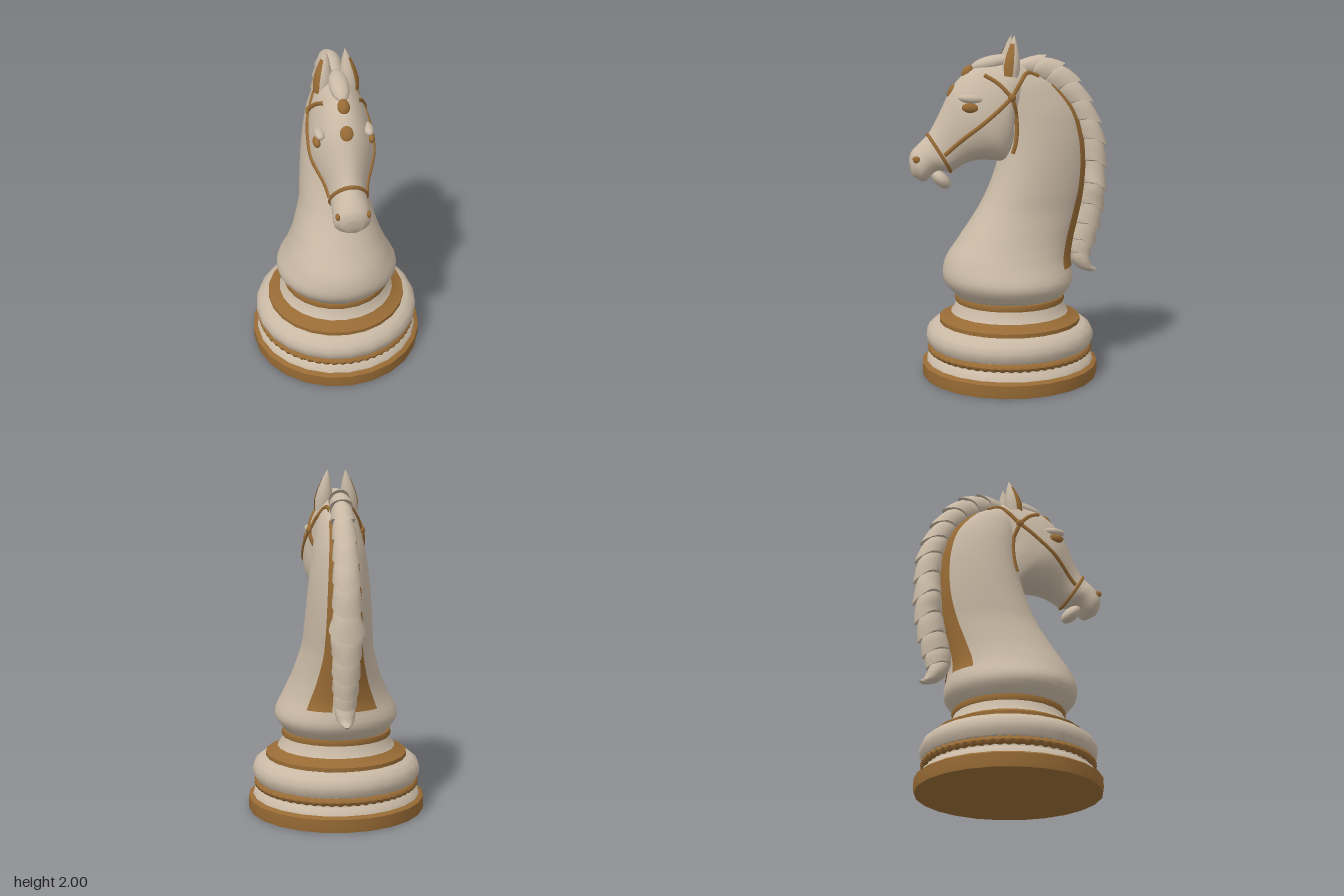
import * as THREE from 'three';
import { toCreasedNormals } from 'three/addons/utils/BufferGeometryUtils.js';

const ivory = new THREE.MeshStandardMaterial({ color: 0xc9b9a5 });
ivory.name = 'ivory';
const gold = new THREE.MeshStandardMaterial({ color: 0x986b35, side: THREE.DoubleSide });
gold.name = 'gold';

// Skin a grid of points: fn(row, angle), rows 0..nv, closed rings with end caps or an open strip
function skin(fn, nv, na, a0 = 0, a1 = Math.PI * 2, closed = true) {
  const pos = [], idx = [], cols = closed ? na : na + 1;
  for (let i = 0; i <= nv; i++)
    for (let j = 0; j < cols; j++) pos.push(...fn(i, a0 + (a1 - a0) * j / na).toArray());
  for (let i = 0; i < nv; i++)
    for (let j = 0; j < na; j++) {
      const k = (j + 1) % cols, p = i * cols, q = p + cols;
      idx.push(p + j, p + k, q + j, p + k, q + k, q + j);
    }
  if (closed) for (const row of [0, nv]) {
    const c = fn(row, 0).add(fn(row, Math.PI)).multiplyScalar(0.5), n = pos.length / 3;
    pos.push(...c.toArray());
    for (let j = 0; j < na; j++) {
      const p = row * cols + j, q = row * cols + (j + 1) % cols;
      idx.push(...(row === 0 ? [n, q, p] : [n, p, q]));
    }
  }
  const g = new THREE.BufferGeometry();
  g.setAttribute('position', new THREE.Float32BufferAttribute(pos, 3));
  g.setIndex(idx);
  g.computeVertexNormals();
  return g;
}

// Sections [az, ay, bz, by, halfWidth, taper] become a smooth surface p(v, angle); angle 0 lies on a
function loft(sections) {
  const curve = f => new THREE.CatmullRomCurve3(sections.map(f));
  const A = curve(s => new THREE.Vector3(0, s[1], s[0]));
  const B = curve(s => new THREE.Vector3(0, s[3], s[2]));
  const W = curve(s => new THREE.Vector3(s[4], s[5], 0));
  return (v, ang, reach = 1, wide = 1) => {
    const a = A.getPoint(v), b = B.getPoint(v), w = W.getPoint(v), c = Math.cos(ang);
    const p = b.clone().lerp(a, (1 + c) / 2 * reach);
    p.x = w.x * wide * Math.sin(ang) * (1 + w.y * c);
    return p;
  };
}

export function createModel() {
  const model = new THREE.Group();
  const add = (name, geo, mat, parent = model) => {
    const m = new THREE.Mesh(geo, mat);
    m.name = name;
    parent.add(m);
    return m;
  };
  const blob = (name, mat, x, y, z, sx, sy, sz, rx = 0) => {
    const m = add(name, new THREE.SphereGeometry(1, 14, 10), mat);
    m.position.set(x, y, z);
    m.scale.set(sx, sy, sz);
    m.rotation.x = rx;
    return m;
  };
  const turned = (name, pts, mat) => add(name, toCreasedNormals(
    new THREE.LatheGeometry(pts.map(p => new THREE.Vector2(...p)), 24), 0.7), mat);

  // Turned base
  turned('basePlinth', [[0, 0], [0.522, 0], [0.525, 0.02], [0.525, 0.075], [0.505, 0.088], [0.47, 0.09]], gold);
  turned('baseStep', [[0.5, 0.085], [0.49, 0.11], [0.465, 0.13], [0.455, 0.19]], ivory);
  turned('baseCushion', [[0.45, 0.175], [0.48, 0.185], [0.498, 0.215], [0.5, 0.25], [0.485, 0.285], [0.45, 0.312], [0.4, 0.32]], ivory);
  turned('lowerCollar', [[0.4, 0.312], [0.42, 0.32], [0.42, 0.342], [0.385, 0.352], [0.35, 0.378]], gold);
  turned('collarSlope', [[0.352, 0.375], [0.33, 0.405], [0.315, 0.45]], ivory);
  turned('upperCollar', [[0.3, 0.44], [0.322, 0.443], [0.327, 0.46], [0.322, 0.477], [0.28, 0.48]], gold);

  // Twisted rope ring
  const R = 0.466, rope = new THREE.TorusGeometry(R, 0.022, 10, 240), rp = rope.attributes.position;
  for (let i = 0; i < rp.count; i++) {
    const u = Math.atan2(rp.getY(i), rp.getX(i)), d = Math.hypot(rp.getX(i), rp.getY(i)) - R, z = rp.getZ(i);
    const k = 1 + 0.22 * Math.cos(2 * Math.atan2(z, d) + 60 * u), r = R + d * k;
    rp.setXYZ(i, r * Math.cos(u), r * Math.sin(u), z * k);
  }
  rope.rotateX(-Math.PI / 2);
  rope.computeVertexNormals();
  add('ropeRing', rope, gold).position.y = 0.16;

  // Neck and chest: front point, back point
  const neckAt = loft([
    [0.31, 0.47, -0.31, 0.47, 0.3, 0], [0.395, 0.58, -0.375, 0.56, 0.365, 0.02],
    [0.385, 0.69, -0.36, 0.69, 0.312, 0.08], [0.31, 0.81, -0.375, 0.8, 0.26, 0.15],
    [0.185, 1.0, -0.42, 0.98, 0.203, 0.22], [0.12, 1.13, -0.45, 1.13, 0.19, 0.25],
    [0.07, 1.28, -0.455, 1.28, 0.178, 0.25], [0.05, 1.4, -0.44, 1.42, 0.165, 0.25],
    [0.05, 1.55, -0.39, 1.57, 0.145, 0.25], [0.08, 1.7, -0.26, 1.72, 0.115, 0.2],
    [0.05, 1.78, -0.12, 1.8, 0.08, 0.1]]);
  const neck = add('neck', skin((i, a) => neckAt(i / 40, a), 40, 28), ivory);

  // Head from nose to poll: top point, jaw point
  const headAt = loft([
    [0.588, 1.29, 0.572, 1.2, 0.05, 0], [0.575, 1.335, 0.505, 1.165, 0.1, -0.05],
    [0.53, 1.385, 0.43, 1.225, 0.102, -0.1], [0.48, 1.435, 0.35, 1.22, 0.1, -0.15],
    [0.435, 1.51, 0.27, 1.262, 0.115, -0.2], [0.395, 1.59, 0.2, 1.283, 0.142, -0.2],
    [0.345, 1.69, 0.1, 1.28, 0.172, -0.15], [0.28, 1.77, 0.025, 1.275, 0.177, -0.18],
    [0.19, 1.825, -0.02, 1.35, 0.17, -0.2], [0.08, 1.84, -0.03, 1.5, 0.15, -0.2],
    [0, 1.85, -0.08, 1.6, 0.115, -0.1], [-0.1, 1.83, -0.12, 1.65, 0.07, 0]]);
  const head = add('head', skin((i, a) => headAt(i / 44, a), 44, 28), ivory);
  blob('lowerLip', ivory, 0, 1.175, 0.405, 0.07, 0.04, 0.07, -0.75);

  // Braided mane: overlapping locks that flare out and drop back
  const maneAt = loft([
    [-0.04, 1.87, -0.04, 1.78, 0.05, 0], [-0.2, 1.89, -0.13, 1.75, 0.062, 0],
    [-0.34, 1.83, -0.22, 1.69, 0.066, 0], [-0.46, 1.69, -0.31, 1.61, 0.07, 0],
    [-0.54, 1.53, -0.37, 1.5, 0.075, 0], [-0.585, 1.37, -0.41, 1.37, 0.08, 0],
    [-0.59, 1.2, -0.42, 1.2, 0.085, 0], [-0.585, 1.03, -0.41, 1.05, 0.085, 0],
    [-0.56, 0.88, -0.38, 0.9, 0.08, 0], [-0.525, 0.76, -0.35, 0.78, 0.072, 0],
    [-0.495, 0.68, -0.365, 0.68, 0.062, 0], [-0.505, 0.625, -0.42, 0.615, 0.045, 0],
    [-0.535, 0.605, -0.5, 0.585, 0.015, 0]]);
  const locks = 15, rows = 5;
  add('mane', toCreasedNormals(skin((i, a) => {
    const f = (i % rows) / (rows - 1), lock = Math.floor(i / rows), c = Math.cos(a);
    const v = (lock + f * 0.95 + f * Math.max(0, c) * 0.45) / locks;
    const flare = lock > locks - 3 ? 1 : Math.sqrt(f);
    return maneAt(Math.min(1, v), a, 0.76 + 0.24 * flare, 0.78 + 0.22 * flare);
  }, locks * rows - 1, 18), 0.9), ivory);
  blob('forelock', ivory, 0, 1.84, 0.1, 0.055, 0.045, 0.13, 0.2);

  // Find the outer surface of head and neck at a given side position
  const ray = new THREE.Raycaster();
  const surfaceX = (z, y) => {
    ray.set(new THREE.Vector3(2, y, z), new THREE.Vector3(-1, 0, 0));
    const hit = ray.intersectObjects([head, neck])[0];
    return hit ? hit.point.x : 0.03;
  };

  // Bridle straps as [z, y] paths laid on the cheek
  const straps = {
    cheekStrap: [[0.395, 1.325], [0.28, 1.43], [0.13, 1.55], [0.015, 1.65]],
    throatStrap: [[0.015, 1.65], [-0.01, 1.57], [-0.02, 1.48], [-0.01, 1.38], [0.005, 1.33]],
    browStrap: [[0.16, 1.775], [0.09, 1.73], [0.015, 1.65]],
    pollStrap: [[0.015, 1.65], [-0.04, 1.73], [-0.09, 1.785], [-0.16, 1.765]],
  };
  const ringPts = [];
  for (let j = 0; j < 24; j++) ringPts.push(headAt(3 / 11, j / 24 * Math.PI * 2));
  add('noseBand', new THREE.TubeGeometry(new THREE.CatmullRomCurve3(ringPts, true), 48, 0.011, 6, true), gold);

  for (const side of [1, -1]) {
    const label = side > 0 ? 'left' : 'right';
    for (const [name, pts] of Object.entries(straps)) {
      const flat = new THREE.CatmullRomCurve3(pts.map(([z, y]) => new THREE.Vector3(0, y, z)));
      const path = flat.getPoints(14).map(p => new THREE.Vector3(side * surfaceX(p.z, p.y), p.y, p.z));
      add(`${label} ${name}`, new THREE.TubeGeometry(new THREE.CatmullRomCurve3(path), 32, 0.013, 6), gold);
    }
    blob(`${label} bridleStud`, gold, side * (surfaceX(0.015, 1.65) + 0.005), 1.65, 0.015, 0.018, 0.024, 0.024);

    // Eye with brow ridge, and nostril
    const ex = surfaceX(0.25, 1.6);
    blob(`${label} eye`, gold, side * (ex + 0.001), 1.595, 0.252, 0.022, 0.028, 0.05, -0.1);
    blob(`${label} brow`, ivory, side * (ex - 0.014), 1.645, 0.245, 0.03, 0.026, 0.075, -0.1);
    blob(`${label} nostril`, gold, side * (surfaceX(0.55, 1.3) - 0.002), 1.3, 0.55, 0.013, 0.02, 0.027, -0.5);

    // Ear with gold inner face
    const ear = new THREE.Group();
    ear.name = `${label} ear`;
    ear.position.set(side * 0.078, 1.76, 0.01);
    ear.rotation.set(-0.12, 0, side * 0.11);
    model.add(ear);
    const shell = [[0.045, 0], [0.052, 0.06], [0.042, 0.12], [0.022, 0.19], [0, 0.243]].map(p => new THREE.Vector2(...p));
    add('earShell', new THREE.LatheGeometry(shell, 14), ivory, ear);
    const inner = shell.slice(0, 4).map(p => new THREE.Vector2(p.x + 0.004, p.y));
    inner[3].x = 0.024;
    add('innerEar', new THREE.LatheGeometry(inner, 6, side * 1.05 - 0.55, 1.1), gold, ear);

    // Gold edging between neck and mane
    add(`${label} maneEdging`, skin((i, a) => {
      const p = neckAt(0.17 + 0.73 * i / 40, a);
      p.x += side * 0.006;
      p.z -= 0.005;
      return p;
    }, 40, 5, side * 2.47, side * 2.95, false), gold);
  }

  // Forehead ornaments
  blob('upperForeheadOrnament', gold, 0, 1.79, 0.245, 0.034, 0.045, 0.03, -0.6);
  blob('lowerForeheadOrnament', gold, 0, 1.685, 0.342, 0.036, 0.042, 0.014, -0.5);

  return model;
}
